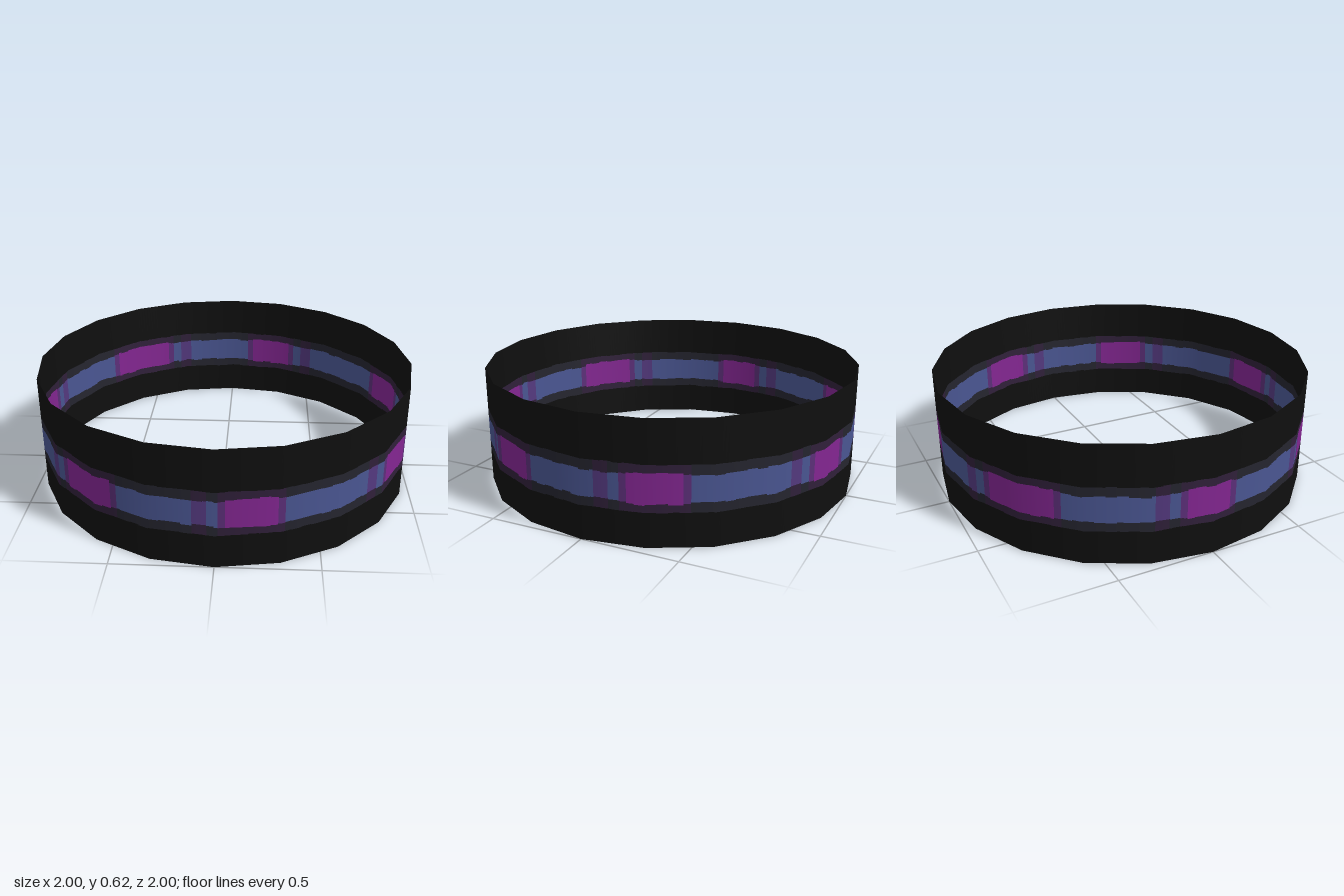
import * as THREE from 'three';

const SIDES = 20, HEIGHT = 0.625, STEP = 360 / SIDES;

// Magenta blocks around the ring, as [start, end] in degrees from +z towards +x
const BLOCKS = [[3, 17], [56, 71], [103, 118], [158, 172], [205, 226], [262, 275], [312, 330]];

const COLORS = {
  black: 0x0f0f0f,
  blue: 0x4a5692,
  magenta: 0x832691,
  violet: 0x54397f,
  plum: 0x5c2f79,
  greyHalo: 0x25252f,
  purpleHalo: 0x30203a,
};

// Point on the flat-sided ring, with a smooth normal
function ringPoint(deg) {
  const k = Math.floor(deg / STEP), t = deg / STEP - k;
  const a = THREE.MathUtils.degToRad(k * STEP), b = THREE.MathUtils.degToRad((k + 1) * STEP);
  const x = Math.sin(a) * (1 - t) + Math.sin(b) * t;
  const z = Math.cos(a) * (1 - t) + Math.cos(b) * t;
  const l = Math.hypot(x, z);
  return { x, z, nx: x / l, nz: z / l };
}

// Small repeatable wobble for the ragged stripe edges
function wobble(i, seed) {
  const s = Math.sin(i * 12.9898 + seed * 78.233) * 43758.5453;
  return (s - Math.floor(s) - 0.5) * 0.009;
}

// Which colours the stripe has at an angle
function stripeAt(deg) {
  for (const [start, end] of BLOCKS) {
    const inside = (a, b) => [deg - 360, deg, deg + 360].some((d) => d > a && d < b);
    if (inside(start, end)) return { core: 'magenta', halo: 'purpleHalo', half: 0.076 };
    if (inside(start - 2, end + 2)) return { core: 'plum', halo: 'purpleHalo', half: 0.07 };
    if (inside(start - 9, start - 5)) return { core: 'violet', halo: 'purpleHalo', half: 0.064 };
  }
  return { core: 'blue', halo: 'greyHalo', half: 0.067 };
}

export function createModel() {
  const group = new THREE.Group();
  group.name = 'ring';

  const parts = {};
  function addQuad(part, color, d0, d1, y0, y1) {
    const p = (parts[part] ??= { color, pos: [], nor: [], idx: [] });
    const a = ringPoint(d0), b = ringPoint(d1), n = p.pos.length / 3;
    for (const [q, y] of [[a, y0], [b, y0], [b, y1], [a, y1]]) {
      p.pos.push(q.x, y, q.z);
      p.nor.push(q.nx, 0, q.nz);
    }
    p.idx.push(n, n + 1, n + 2, n, n + 2, n + 3);
  }

  // One-degree columns, each cut into band, halo and core
  const mid = 0.289;
  for (let d = 0; d < 360; d++) {
    const { core, halo, half } = stripeAt(d + 0.5);
    const w = Math.floor(d / 3);
    const low = mid - half + wobble(w, 1), high = mid + half + wobble(w, 2);
    const outerLow = 0.174 + wobble(w, 3) * 0.5, outerHigh = 0.406 + wobble(w, 4) * 0.5;
    addQuad('lowerBand', 'black', d, d + 1, 0, outerLow);
    addQuad(halo + 'Stripe', halo, d, d + 1, outerLow, low);
    addQuad(core + 'Stripe', core, d, d + 1, low, high);
    addQuad(halo + 'Stripe', halo, d, d + 1, high, outerHigh);
    addQuad('upperBand', 'black', d, d + 1, outerHigh, HEIGHT);
  }

  const materials = {};
  for (const [name, color] of Object.entries(COLORS)) {
    materials[name] = new THREE.MeshStandardMaterial({ color, side: THREE.DoubleSide });
    materials[name].name = name;
  }

  for (const [name, p] of Object.entries(parts)) {
    const geo = new THREE.BufferGeometry();
    geo.setAttribute('position', new THREE.Float32BufferAttribute(p.pos, 3));
    geo.setAttribute('normal', new THREE.Float32BufferAttribute(p.nor, 3));
    geo.setIndex(p.idx);
    const mesh = new THREE.Mesh(geo, materials[p.color]);
    mesh.name = name;
    group.add(mesh);
  }
  return group;
}
